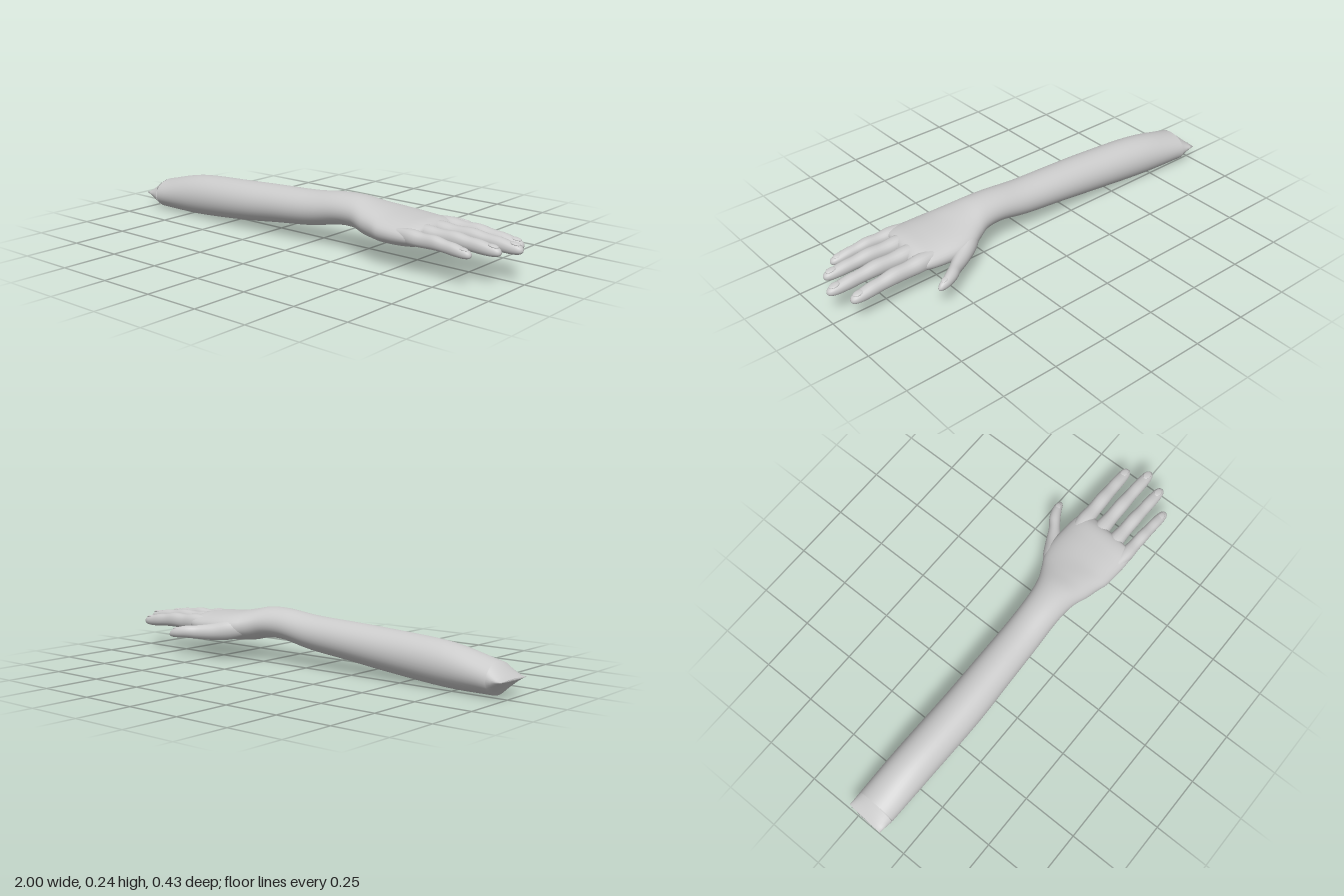
import * as THREE from 'three';

const skin = new THREE.MeshStandardMaterial({ color: 0xcccccc, side: THREE.DoubleSide });

// Smooth skin through cross-sections [x, y, z, halfHeight, halfWidth, squareness]
function loft(name, sections, steps, sides) {
  const path = new THREE.CatmullRomCurve3(
    sections.map(s => new THREE.Vector3(s[0], s[1], s[2])), false, 'catmullrom', 0.5);
  const sizes = new THREE.CatmullRomCurve3(
    sections.map(s => new THREE.Vector3(s[3], s[4], s[5] ?? 2)), false, 'catmullrom', 0.5);
  const up = new THREE.Vector3(0, 1, 0);
  const positions = [], index = [];
  const rows = (sections.length - 1) * steps;
  const power = (v, n) => Math.sign(v) * Math.pow(Math.abs(v), 2 / n);
  for (let j = 0; j <= rows; j++) {
    const c = path.getPoint(j / rows), size = sizes.getPoint(j / rows);
    const side = path.getTangent(j / rows).cross(up).normalize();
    const hy = Math.max(size.x, 0.0005), hz = Math.max(size.y, 0.0005);
    for (let i = 0; i < sides; i++) {
      const a = (i / sides) * Math.PI * 2;
      const w = power(Math.cos(a), size.z) * hz, h = power(Math.sin(a), size.z) * hy;
      positions.push(c.x + side.x * w, c.y + h, c.z + side.z * w);
      if (j < rows) {
        const p = j * sides + i, q = j * sides + (i + 1) % sides;
        index.push(p, p + sides, q, q, p + sides, q + sides);
      }
    }
  }
  const geometry = new THREE.BufferGeometry();
  geometry.setAttribute('position', new THREE.Float32BufferAttribute(positions, 3));
  geometry.setIndex(index);
  geometry.computeVertexNormals();
  const mesh = new THREE.Mesh(geometry, skin);
  mesh.name = name;
  return mesh;
}

// Section given by its extents: bottom, top, minZ, maxZ
const span = (x, bottom, top, z0, z1, n = 2) =>
  [x, (bottom + top) / 2, (z0 + z1) / 2, (top - bottom) / 2, (z1 - z0) / 2, n];

function nail(name, x, y, z, turn, tilt, size) {
  const mesh = new THREE.Mesh(new THREE.SphereGeometry(1, 16, 10), skin);
  mesh.name = name;
  mesh.scale.set(size * 1.5, size * 0.35, size);
  mesh.rotation.set(0, turn, tilt);
  mesh.position.set(x, y, z);
  return mesh;
}

// Finger from a root inside the palm, swelling at the two joints, rounded at the tip
function finger(name, rootZ, tipX, tipY, tipZ, r) {
  const g = new THREE.Group();
  g.name = name;
  const start = 0.53, length = tipX - start, rootY = 0.15;
  // [fraction of length, lift above the straight line, height scale, width scale]
  const profile = [
    [0, 0, 1.1, 0.9], [0.2, 0.004, 1.3, 1.25], [0.36, 0.004, 1.15, 1.08],
    [0.52, 0.009, 1.15, 1.08], [0.66, 0.006, 0.98, 0.96], [0.78, 0.004, 0.98, 0.96],
    [0.9, 0, 0.8, 0.86], [0.96, -0.001, 0.62, 0.68], [0.99, -0.002, 0.35, 0.38], [1, -0.002, 0, 0],
  ];
  g.add(loft(name + 'Skin', profile.map(([t, lift, h, w]) => [
    start + length * t,
    THREE.MathUtils.lerp(rootY, tipY, t) + lift,
    THREE.MathUtils.lerp(rootZ, tipZ, t),
    r * h, r * w, 2.2,
  ]), 4, 18));
  g.add(nail(name + 'Nail', tipX - 0.035, tipY + r * 0.74, tipZ, 0, -0.15, r * 0.55));
  return g;
}

export function createModel() {
  const arm = new THREE.Group();
  arm.name = 'arm';

  // Forearm, wrist and palm in one skin
  arm.add(loft('forearmAndPalm', [
    span(-0.93, 0.0, 0.134, -0.044, 0.138),
    span(-0.7, 0.001, 0.185, -0.04, 0.146),
    span(-0.4, 0.026, 0.205, -0.03, 0.154),
    span(-0.2, 0.049, 0.215, -0.027, 0.15),
    span(0, 0.071, 0.224, -0.025, 0.145),
    span(0.15, 0.1, 0.24, -0.027, 0.142),
    span(0.25, 0.102, 0.241, -0.042, 0.15),
    span(0.33, 0.085, 0.226, -0.075, 0.175, 2.1),
    span(0.42, 0.08, 0.21, -0.112, 0.197, 2.2),
    span(0.52, 0.084, 0.202, -0.112, 0.206, 2.2),
    span(0.59, 0.094, 0.196, -0.104, 0.208, 2.2),
    span(0.625, 0.112, 0.18, -0.09, 0.197, 2.2),
    span(0.64, 0.145, 0.15, -0.07, 0.18, 2),
  ], 5, 40));

  // Wedge closing the elbow end
  arm.add(loft('elbowEnd', [
    span(-1, 0.068, 0.072, -0.044, 0.13),
    span(-0.93, 0.0, 0.134, -0.044, 0.138),
  ], 4, 40));

  // name, root z, tip x, tip y, tip z, radius
  for (const f of [
    ['indexFinger', -0.062, 0.95, 0.128, -0.07, 0.029],
    ['middleFinger', 0.018, 1.0, 0.138, 0.02, 0.029],
    ['ringFinger', 0.1, 0.96, 0.142, 0.11, 0.028],
    ['littleFinger', 0.175, 0.88, 0.134, 0.189, 0.025],
  ]) arm.add(finger(...f));

  // Thumb, angled away from the palm
  const thumb = new THREE.Group();
  thumb.name = 'thumb';
  thumb.add(loft('thumbSkin', [
    [0.3, 0.15, -0.02, 0.03, 0.02],
    [0.38, 0.138, -0.07, 0.045, 0.036],
    [0.45, 0.126, -0.112, 0.038, 0.034],
    [0.51, 0.123, -0.152, 0.031, 0.025],
    [0.55, 0.124, -0.181, 0.028, 0.025],
    [0.59, 0.12, -0.2, 0.024, 0.021],
    [0.62, 0.114, -0.207, 0.017, 0.014],
    [0.632, 0.11, -0.209, 0.008, 0.007],
    [0.636, 0.109, -0.21, 0, 0],
  ], 4, 20));
  thumb.add(nail('thumbNail', 0.6, 0.138, -0.202, 0.35, -0.2, 0.012));
  arm.add(thumb);

  return arm;
}
